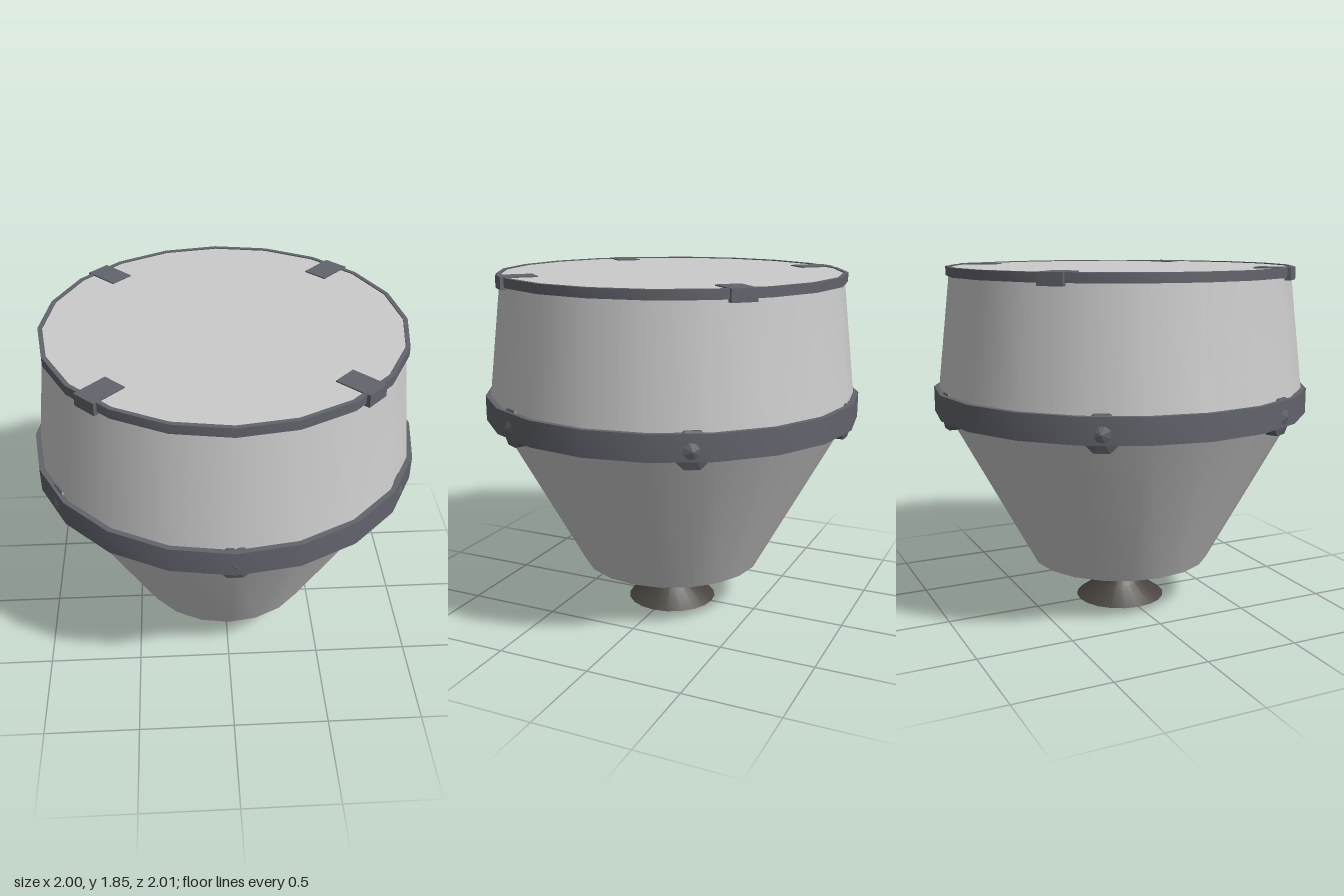
import * as THREE from 'three';
import { toCreasedNormals } from 'three/addons/utils/BufferGeometryUtils.js';

const SIDES = 20;
const grey = new THREE.MeshStandardMaterial({ color: 0xcccccc });
const trim = new THREE.MeshStandardMaterial({ color: 0x62646c });
const dark = new THREE.MeshStandardMaterial({ color: 0x48433e, side: THREE.DoubleSide });

function add(parent, name, geometry, material, x = 0, y = 0, z = 0) {
  const mesh = new THREE.Mesh(geometry, material);
  mesh.name = name;
  mesh.position.set(x, y, z);
  parent.add(mesh);
  return mesh;
}

// Turned part from [radius, height] pairs, listed bottom to top along the outside
function turned(points, sides = SIDES) {
  const profile = points.map(([r, y]) => new THREE.Vector2(r, y));
  return toCreasedNormals(new THREE.LatheGeometry(profile, sides), 0.45);
}

// Hoop with a rectangular section
const hoop = (inner, outer, low, high) =>
  turned([[inner, low], [outer, low], [outer, high], [inner, high], [inner, low]]);

export function createModel() {
  const model = new THREE.Group();
  model.name = 'capsule';

  // Hull: lower funnel, upper drum and flat lid in one closed shell
  add(model, 'hull', turned([
    [0, 0.25], [0.49, 0.25], [0.98, 1.15], [0.903, 1.8], [0.9, 1.843], [0, 1.843],
  ]), grey);

  // Bands around the lid and the widest point
  add(model, 'lidRim', hoop(0.895, 0.918, 1.8, 1.848), trim);
  add(model, 'belt', hoop(0.93, 1.0, 1.083, 1.215), trim);

  // Four clips hooked over the lid edge
  for (let i = 0; i < 4; i++) {
    const clip = new THREE.Group();
    clip.name = 'lidClip';
    clip.rotation.y = Math.PI / 4 + i * Math.PI / 2;
    add(clip, 'clipTop', new THREE.BoxGeometry(0.13, 0.02, 0.19), trim, 0, 1.839, 0.83);
    add(clip, 'clipHook', new THREE.BoxGeometry(0.13, 0.063, 0.04), trim, 0, 1.817, 0.905);
    model.add(clip);
  }

  // Six octagonal studs under the belt, with points just breaking its surface
  const studBody = new THREE.CylinderGeometry(0.1, 0.1, 0.09, 8).toNonIndexed();
  studBody.rotateY(Math.PI / 8).rotateX(Math.PI / 2);
  studBody.computeVertexNormals();
  const studTip = new THREE.ConeGeometry(0.1, 0.033, 8).toNonIndexed();
  studTip.rotateY(Math.PI / 8).rotateX(Math.PI / 2);
  studTip.computeVertexNormals();
  for (let i = 0; i < 6; i++) {
    const stud = new THREE.Group();
    stud.name = 'beltStud';
    stud.rotation.y = i * Math.PI / 3;
    add(stud, 'studBody', studBody, trim, 0, 1.133, 0.925);
    add(stud, 'studTip', studTip, trim, 0, 1.133, 0.986);
    model.add(stud);
  }

  // Mounting collar and flared nozzle
  add(model, 'nozzleCollar', turned([[0, 0.228], [0.13, 0.228], [0.13, 0.252], [0, 0.252]]), trim);
  add(model, 'nozzle', turned([
    [0.245, 0], [0.125, 0.085], [0.075, 0.17], [0.1, 0.23],
  ]), dark);
  add(model, 'nozzleThroat', new THREE.CircleGeometry(0.075, SIDES).rotateX(Math.PI / 2), dark, 0, 0.17, 0);

  return model;
}
